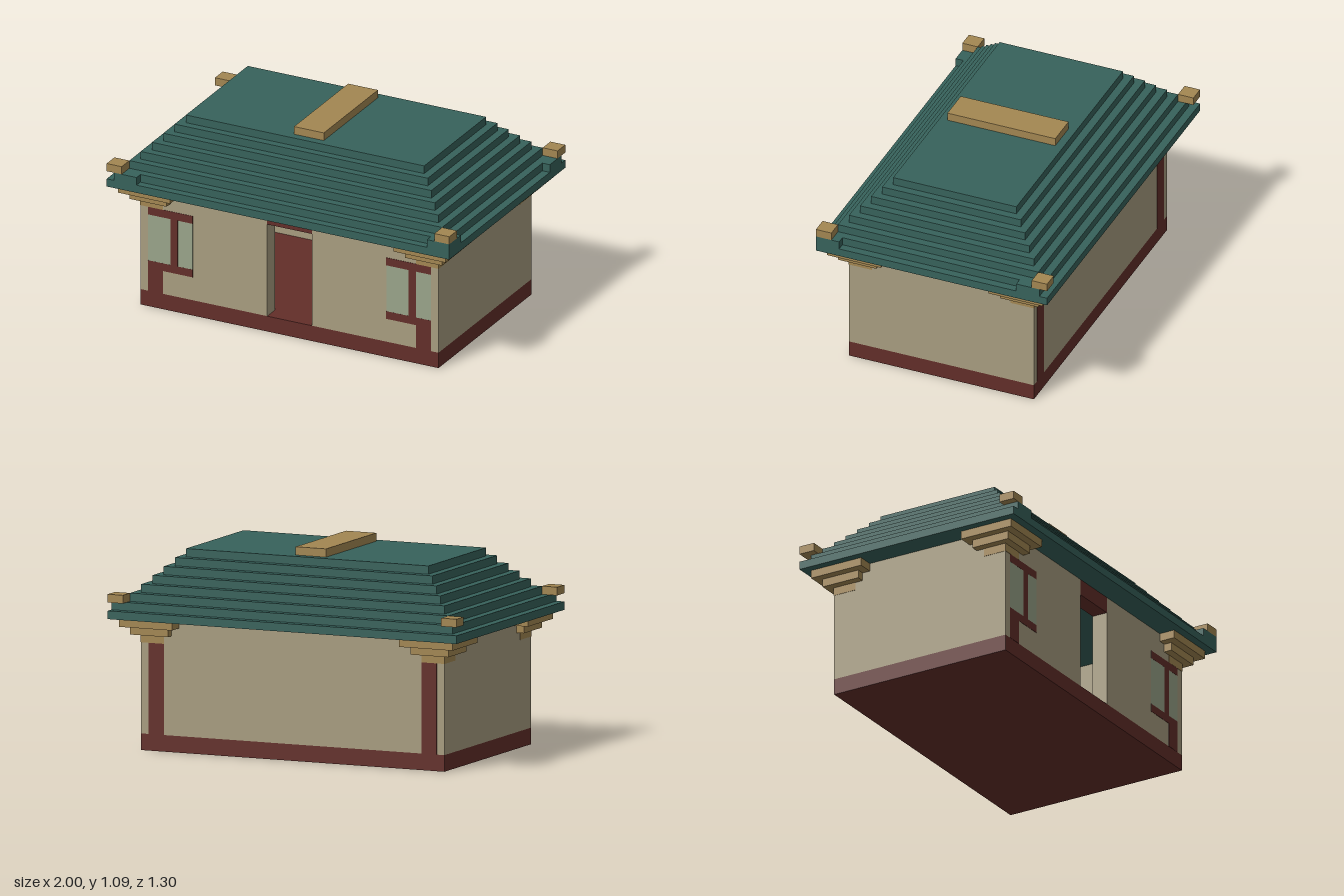
import * as THREE from 'three';

const U = 1 / 23; // one grid block; all sizes below are in blocks
const mat = (color) => new THREE.MeshStandardMaterial({ color, flatShading: true });

export function createModel() {
  const model = new THREE.Group();
  const wall = mat(0xa89d80), red = mat(0x632e29), teal = mat(0x37625b);
  const gold = mat(0xa38752), glass = mat(0x9aa48a);

  // Box between two corners
  const block = (name, material, x0, x1, y0, y1, z0, z1) => {
    const geo = new THREE.BoxGeometry((x1 - x0) * U, (y1 - y0) * U, (z1 - z0) * U);
    const mesh = new THREE.Mesh(geo, material);
    mesh.position.set((x0 + x1) / 2 * U, (y0 + y1) / 2 * U, (z0 + z1) / 2 * U);
    mesh.name = name;
    model.add(mesh);
  };
  // Span from a to b on side s, in ascending order
  const span = (s, a, b) => (s > 0 ? [a, b] : [-b, -a]);

  // Base slab, which is also the floor
  block('base', red, -20, 20, 0, 2, -12, 12);

  // Hollow body with an open doorway
  block('backWall', wall, -20, 20, 2, 16, -12, -10);
  for (const s of [-1, 1]) {
    block('sideWall', wall, ...span(s, 18, 20), 2, 16, -10, 10);
    block('frontWall', wall, ...span(s, 3, 20), 2, 16, 10, 12);
  }
  block('doorLintel', red, -3, 3, 14, 16, 10, 12);

  // Posts and windows, a hair proud of the walls
  const f0 = 11.5, f1 = 12.04;
  for (const s of [-1, 1]) {
    block('backPost', red, ...span(s, 17, 19), 2, 16, -f1, -f0);
    block('frontPost', red, ...span(s, 17, 19), 2, 5, f0, f1);
    const win = span(s, 13, 19);
    block('windowSill', red, ...win, 5, 6, f0, f1);
    block('windowHead', red, ...win, 12, 13, f0, f1);
    block('windowPane', glass, ...win, 6, 12, f0, f1 - 0.01);
    block('windowMullion', red, win[0] + 3, win[0] + 4, 6, 12, f0, f1);
  }

  // Stepped brackets and eave tips at the four corners
  for (const sx of [-1, 1]) for (const sz of [-1, 1]) {
    block('bracketLower', gold, ...span(sx, 17, 20.05), 13, 14, ...span(sz, 9, 12.05));
    block('bracketMiddle', gold, ...span(sx, 16, 21), 14, 15, ...span(sz, 8, 13));
    block('bracketUpper', gold, ...span(sx, 15, 22), 15, 16, ...span(sz, 7, 14));
    block('eaveTip', gold, ...span(sx, 21, 23), 18, 19, ...span(sz, 13, 15));
  }

  // Roof tiers, one block narrower on each side per step
  for (let i = 0; i < 8; i++) {
    block('roofTier', teal, -(23 - i), 23 - i, 16 + i, 17 + i, -(15 - i), 15 - i);
  }
  // Raised eave corners on the second tier
  for (const x of [-22, 20]) for (const z of [-14, 12]) {
    block('eaveCorner', teal, x, x + 3, 17, 18, z, z + 3);
  }

  // Ridge beam
  block('ridgeBeam', gold, -2, 2, 24, 25, -7, 7);

  return model;
}
